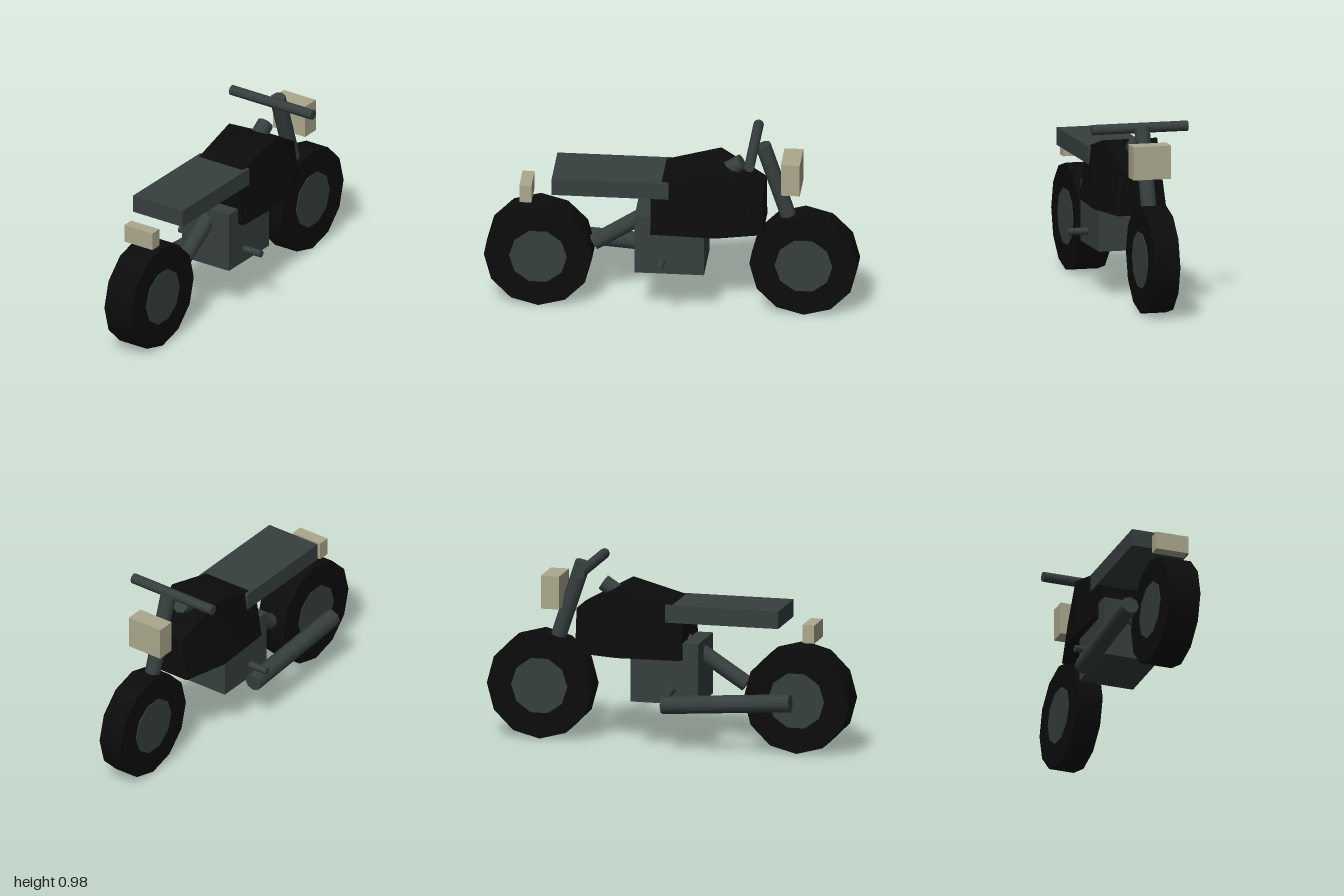
import * as THREE from 'three';
import { toCreasedNormals } from 'three/addons/utils/BufferGeometryUtils.js';

const material = (name, color) => {
  const m = new THREE.MeshStandardMaterial({ color });
  m.name = name;
  return m;
};

export function createModel() {
  const rubber = material('black', 0x0c0c0c);
  const metal = material('dark grey', 0x373f3f);
  const lamp = material('beige', 0xaba88d);
  const model = new THREE.Group();

  const add = (name, geometry, mat) => {
    const mesh = new THREE.Mesh(geometry, mat);
    mesh.name = name;
    model.add(mesh);
    return mesh;
  };

  // Box given by its half width and its y and z ranges
  const box = (name, mat, halfX, y0, y1, z0, z1) =>
    add(name, new THREE.BoxGeometry(2 * halfX, y1 - y0, z1 - z0), mat)
      .position.set(0, (y0 + y1) / 2, (z0 + z1) / 2);

  // Straight tube between two points
  const tube = (name, mat, r, from, to, sides = 8) => {
    const a = new THREE.Vector3(...from), b = new THREE.Vector3(...to);
    const dir = b.clone().sub(a);
    const mesh = add(name, new THREE.CylinderGeometry(r, r, dir.length(), sides), mat);
    mesh.position.copy(a).add(b).multiplyScalar(0.5);
    mesh.quaternion.setFromUnitVectors(new THREE.Vector3(0, 1, 0), dir.normalize());
  };

  // Wheels: tyre with a slightly wider hub
  const wheels = [['rear', 0.71, 0.088, 0.092], ['front', -0.71, 0.07, 0.075]];
  for (const [end, z, tyreX, hubX] of wheels) {
    tube(end + 'Tyre', rubber, 0.29, [-tyreX, 0.292, z], [tyreX, 0.292, z], 12);
    tube(end + 'Hub', metal, 0.155, [-hubX, 0.292, z], [hubX, 0.292, z], 10);
  }

  // Body blocks and lamps
  box('engine', metal, 0.153, 0.252, 0.585, -0.185, 0.187);
  box('seat', metal, 0.161, 0.695, 0.79, 0.005, 0.63);
  box('headlight', lamp, 0.104, 0.72, 0.9, -0.693, -0.592);
  box('tailLight', lamp, 0.091, 0.61, 0.708, 0.745, 0.81);

  // Frame, steering, exhaust and foot pegs
  tube('frameBeam', metal, 0.046, [0, 0.35, 0.415], [0, 0.86, -0.375]);
  tube('fork', metal, 0.043, [0, 0.292, -0.71], [0, 0.967, -0.486]);
  tube('handlebar', metal, 0.028, [-0.265, 0.958, -0.438], [0.265, 0.958, -0.438]);
  tube('exhaust', metal, 0.049, [-0.201, 0.253, 0], [-0.201, 0.303, 0.708]);
  tube('footPegs', metal, 0.02, [-0.265, 0.327, 0.043], [0.265, 0.327, 0.043]);

  // Tank: trapezoid sections [z, bottom half width, top half width, top y]
  const sections = [
    [0.1, 0.185, 0.14, 0.775],
    [-0.25, 0.199, 0.15, 0.867],
    [-0.497, 0.133, 0.1, 0.734],
  ];
  const points = [], faces = [];
  for (const [z, low, high, top] of sections) {
    points.push(-low, 0.495, z, low, 0.495, z, high, top, z, -high, top, z);
  }
  for (let s = 0; s < sections.length - 1; s++) {
    for (let i = 0; i < 4; i++) {
      const a = s * 4 + i, b = s * 4 + (i + 1) % 4;
      faces.push(a, a + 4, b, b, a + 4, b + 4);
    }
  }
  const last = (sections.length - 1) * 4;
  faces.push(0, 1, 2, 0, 2, 3, last, last + 2, last + 1, last, last + 3, last + 2);
  const tank = new THREE.BufferGeometry();
  tank.setAttribute('position', new THREE.Float32BufferAttribute(points, 3));
  tank.setIndex(faces);
  add('tank', toCreasedNormals(tank, 0.9), rubber);

  return model;
}
